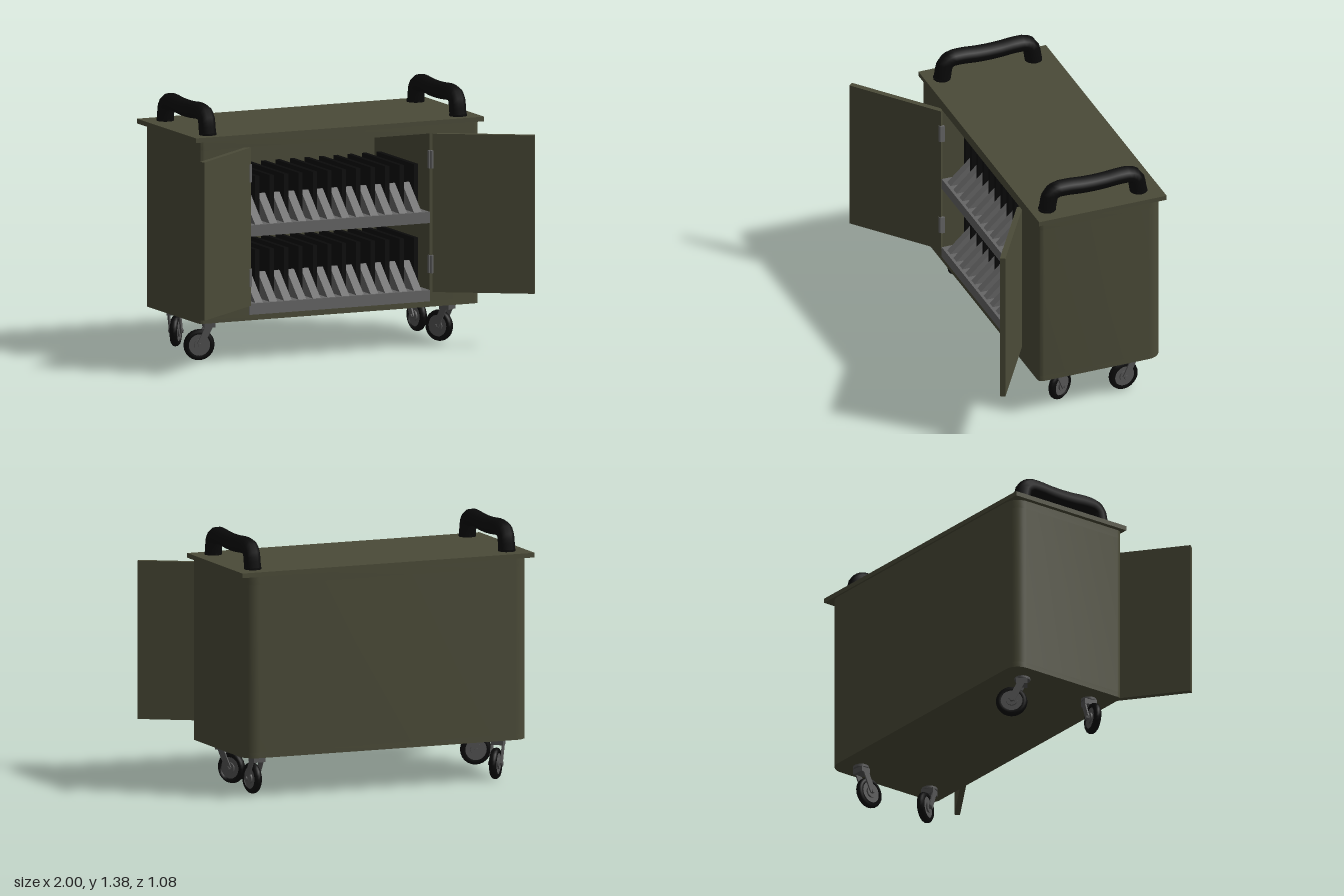
import * as THREE from 'three';
import { toCreasedNormals } from 'three/addons/utils/BufferGeometryUtils.js';

const mat = (color, extra = {}) => new THREE.MeshStandardMaterial({ color, ...extra });

export function createModel() {
  const root = new THREE.Group();
  const olive = mat(0x4b4b38), black = mat(0x0a0a0a), grey = mat(0x666666), steel = mat(0x555555);

  const add = (parent, name, geo, material, x = 0, y = 0, z = 0) => {
    const m = new THREE.Mesh(geo, material);
    m.name = name;
    m.position.set(x, y, z);
    parent.add(m);
    return m;
  };
  // Box given by its minimum and maximum corners
  const block = (parent, name, material, [x0, y0, z0], [x1, y1, z1]) =>
    add(parent, name, new THREE.BoxGeometry(x1 - x0, y1 - y0, z1 - z0), material,
      (x0 + x1) / 2, (y0 + y1) / 2, (z0 + z1) / 2);

  // Plan outline of the cabinet (shape y is -z), optionally notched for the front opening
  const L = -0.84, R = 0.80, F = -0.18, B = 0.53, rb = 0.08, rf = 0.03;
  const x0 = -0.55, x1 = 0.51;
  const plan = (notched) => {
    const s = new THREE.Shape();
    s.moveTo(L + rf, F);
    if (notched) {
      s.lineTo(x0, F);
      s.lineTo(x0, B - 0.03);
      s.lineTo(x1, B - 0.03);
      s.lineTo(x1, F);
    }
    s.lineTo(R - rf, F);
    s.quadraticCurveTo(R, F, R, F + rf);
    s.lineTo(R, B - rb);
    s.absarc(R - rb, B - rb, rb, 0, Math.PI / 2);
    s.lineTo(L + rb, B);
    s.absarc(L + rb, B - rb, rb, Math.PI / 2, Math.PI);
    s.lineTo(L, F + rf);
    s.quadraticCurveTo(L, F, L + rf, F);
    return s;
  };
  const slab = (name, notched, y0, y1) => {
    const g = new THREE.ExtrudeGeometry(plan(notched), { depth: y1 - y0, bevelEnabled: false, curveSegments: 5 });
    g.rotateX(-Math.PI / 2);
    add(root, name, toCreasedNormals(g, 0.5), olive, 0, y0, 0);
  };
  slab('cabinetFloor', false, 0.22, 0.25);
  slab('cabinetWalls', true, 0.25, 1.15);
  slab('cabinetTop', false, 1.15, 1.195);
  block(root, 'lid', olive, [-0.865, 1.195, -0.54], [0.825, 1.22, 0.19]);

  // Shelves with upright devices and sloping dividers between them
  const wedge = new THREE.Shape([[-0.15, 0], [0.01, 0], [0.01, 0.14], [0, 0.14]].map(p => new THREE.Vector2(...p)));
  const wedgeGeo = new THREE.ExtrudeGeometry(wedge, { depth: 0.045, bevelEnabled: false });
  wedgeGeo.translate(0, 0, -0.0225).rotateY(Math.PI / 2);
  for (const [bottom, top, height] of [[0.25, 0.31, 0.265], [0.67, 0.73, 0.24]]) {
    const shelf = new THREE.Group();
    shelf.name = 'shelf';
    root.add(shelf);
    block(shelf, 'shelfBoard', grey, [x0, bottom, -0.5], [x1, top, 0.185]);
    for (let i = 0; i < 13; i++) {
      const x = -0.529 + i * 0.0847;
      block(shelf, 'device', black, [x - 0.0125, top, -0.4], [x + 0.0125, top + height, 0.06]);
      if (i < 12) add(shelf, 'divider', wedgeGeo, grey, x + 0.0424, top, 0.02);
    }
  }

  // Open doors, each running from hinge to free edge in plan
  const door = (name, ax, az, bx, bz) => {
    const length = Math.hypot(bx - ax, bz - az);
    const d = add(root, name, new THREE.BoxGeometry(length, 0.85, 0.03), olive, (ax + bx) / 2, 0.725, (az + bz) / 2);
    d.rotation.y = -Math.atan2(bz - az, bx - ax);
  };
  door('rightDoor', -0.555, 0.18, -0.99, 0.526);
  door('leftDoor', 0.53, 0.18, 0.99, 0.467);
  for (const x of [-0.553, 0.517]) {
    for (const y of [0.45, 1.012]) {
      block(root, 'hingePlate', grey, [x - 0.015, y - 0.048, 0.172], [x + 0.015, y + 0.048, 0.19]);
      add(root, 'hingePin', new THREE.CylinderGeometry(0.01, 0.01, 0.096, 8), grey, x, y, 0.192);
    }
  }

  // Push handles with a shallow dip in the grip
  const half = [[0.262, 1.215], [0.253, 1.275], [0.242, 1.31], [0.205, 1.332], [0.14, 1.333], [0.07, 1.327]];
  const path = [...half, [0, 1.325], ...half.map(([z, y]) => [-z, y]).reverse()];
  const curve = new THREE.CatmullRomCurve3(
    path.map(([z, y]) => new THREE.Vector3(0, y, z - 0.162)), false, 'catmullrom', 0.3);
  const handleGeo = new THREE.TubeGeometry(curve, 32, 0.046, 10);
  for (const x of [-0.755, 0.715]) {
    add(root, 'handle', handleGeo, black, x);
    for (const z of [0.1, -0.424])
      add(root, 'handleFoot', new THREE.CylinderGeometry(0.047, 0.047, 0.012, 12), black, x, 1.225, z);
  }

  // Swivel casters: each trails in its own direction
  const v = (r, y) => new THREE.Vector2(r, y);
  const tyreGeo = new THREE.LatheGeometry([v(0.058, -0.018), v(0.072, -0.02), v(0.081, -0.012), v(0.084, 0),
    v(0.081, 0.012), v(0.072, 0.02), v(0.058, 0.018), v(0.058, -0.018)], 24).rotateZ(Math.PI / 2);
  const disc = (r, w, n = 20) => new THREE.CylinderGeometry(r, r, w, n).rotateZ(Math.PI / 2);
  const trail = 0.057, axleY = 0.085;
  const caster = (x, z, hx, hz) => {
    const c = new THREE.Group();
    c.name = 'caster';
    c.position.set(x, 0, z);
    c.rotation.y = Math.atan2(hx, hz);
    root.add(c);
    add(c, 'swivelPlate', new THREE.CylinderGeometry(0.042, 0.042, 0.014, 16), steel, 0, 0.214, 0);
    add(c, 'forkCrown', new THREE.BoxGeometry(0.068, 0.03, 0.06), steel, 0, 0.194, 0.004);
    for (const side of [-1, 1]) {
      const leg = add(c, 'forkLeg', new THREE.BoxGeometry(0.008, 0.135, 0.036), steel,
        side * 0.03, (0.2 + axleY) / 2, trail / 2);
      leg.rotation.x = -Math.atan2(trail, 0.2 - axleY);
    }
    add(c, 'tyre', tyreGeo, black, 0, axleY, trail);
    add(c, 'wheelDisc', disc(0.06, 0.028), steel, 0, axleY, trail);
    add(c, 'wheelHub', disc(0.03, 0.046), steel, 0, axleY, trail);
    add(c, 'axle', disc(0.011, 0.08, 8), steel, 0, axleY, trail);
  };
  caster(-0.72, 0.05, -0.95, -0.25);
  caster(0.68, 0.05, -0.5, -0.85);
  caster(0.68, -0.405, 0.1, 1);
  caster(-0.72, -0.39, 0.6, -0.8);

  return root;
}
